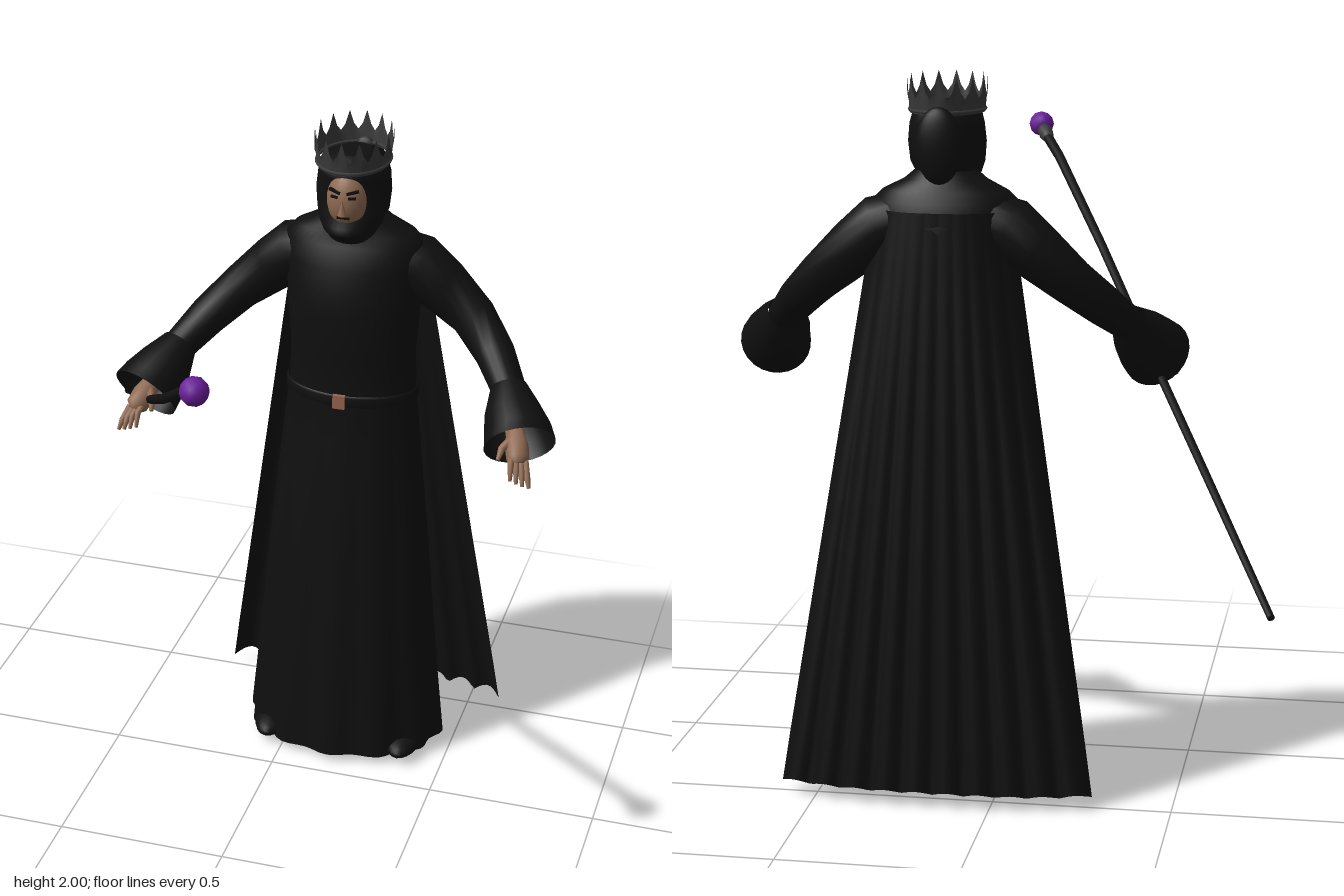
import * as THREE from 'three';

const CX = 0.16; // body centre line
const V = (x, y, z) => new THREE.Vector3(x, y, z);

const mat = (name, color, side = THREE.FrontSide) => {
  const m = new THREE.MeshStandardMaterial({ color, side });
  m.name = name;
  return m;
};

// Skin a list of equal-length rings (or open rows) of points
function loft(rings, closed = true, capStart = false, capEnd = false) {
  const n = rings[0].length, pos = [], idx = [];
  rings.forEach(r => r.forEach(p => pos.push(p.x, p.y, p.z)));
  for (let i = 0; i < rings.length - 1; i++) {
    for (let j = 0; j < (closed ? n : n - 1); j++) {
      const k = (j + 1) % n, a = i * n + j, b = i * n + k;
      idx.push(a, b, b + n, a, b + n, a + n);
    }
  }
  const cap = (i, flip) => {
    const c = rings[i].reduce((s, p) => s.add(p), V(0, 0, 0)).divideScalar(n);
    const start = pos.length / 3;
    [...rings[i], c].forEach(p => pos.push(p.x, p.y, p.z));
    for (let j = 0; j < n; j++) {
      const a = start + j, b = start + (j + 1) % n;
      flip ? idx.push(b, a, start + n) : idx.push(a, b, start + n);
    }
  };
  if (capStart) cap(0, true);
  if (capEnd) cap(rings.length - 1, false);
  const g = new THREE.BufferGeometry();
  g.setAttribute('position', new THREE.Float32BufferAttribute(pos, 3));
  g.setIndex(idx);
  g.computeVertexNormals();
  return g;
}

// Round limb through points with a radius at each
function sweep(pts, radii, n = 12, caps = true) {
  const rings = pts.map((p, i) => {
    const t = pts[Math.min(i + 1, pts.length - 1)].clone().sub(pts[Math.max(i - 1, 0)]).normalize();
    const u = V(0, 1, 0).cross(t).normalize(), v = t.clone().cross(u);
    return Array.from({ length: n }, (_, j) => {
      const a = j / n * Math.PI * 2;
      return p.clone().addScaledVector(u, radii[i] * Math.cos(a)).addScaledVector(v, radii[i] * Math.sin(a));
    });
  });
  return loft(rings, true, caps, caps);
}

// Stacked ellipses from rows of [y, half width, front z, back z, fold depth]
function stack(rows, n = 48, capStart = false, capEnd = false) {
  return loft(rows.map(([y, rx, zf, zb, fold = 0]) => Array.from({ length: n }, (_, j) => {
    const a = j / n * Math.PI * 2, k = 1 + fold * Math.cos(a * 12);
    return V(CX + rx * k * Math.cos(a), y, (zf + zb) / 2 - (zf - zb) / 2 * k * Math.sin(a));
  })), true, capStart, capEnd);
}

export function createModel() {
  const cloth = mat('black cloth', 0x0f0f0f, THREE.DoubleSide);
  const skin = mat('skin', 0x8f6a52);
  const iron = mat('dark iron', 0x3a3a3a, THREE.DoubleSide);
  const purple = mat('purple gem', 0x6a1f9a);
  const copper = mat('copper', 0x966650);
  const wood = mat('black wood', 0x121212);
  const root = new THREE.Group();
  const add = (name, geo, m, x = 0, y = 0, z = 0, parent = root) => {
    const mesh = new THREE.Mesh(geo, m);
    mesh.name = name;
    mesh.position.set(x, y, z);
    parent.add(mesh);
    return mesh;
  };
  const ball = (rx, ry, rz) => new THREE.SphereGeometry(1, 24, 16).scale(rx, ry, rz);

  // Robe, belt and shoulder mantle
  add('robe', stack([
    [0.025, 0.3, -0.06, -0.51, 0.035], [0.3, 0.275, -0.08, -0.48, 0.025], [0.7, 0.24, -0.115, -0.45, 0.015],
    [1.05, 0.205, -0.152, -0.425, 0.008], [1.19, 0.19, -0.17, -0.415], [1.32, 0.185, -0.165, -0.42],
    [1.46, 0.195, -0.155, -0.425], [1.58, 0.2, -0.175, -0.42], [1.66, 0.185, -0.205, -0.4],
    [1.71, 0.1, -0.23, -0.37]], 72, true, true), cloth);
  add('belt', stack([[1.175, 0.193, -0.163, -0.42], [1.18, 0.199, -0.158, -0.425],
    [1.205, 0.199, -0.158, -0.425], [1.21, 0.193, -0.163, -0.42]]), cloth);
  add('buckle', new THREE.BoxGeometry(0.036, 0.042, 0.012), copper, 0.155, 1.193, -0.156);
  add('mantle', stack([[1.52, 0.2, -0.152, -0.43], [1.6, 0.205, -0.165, -0.43], [1.66, 0.205, -0.195, -0.405],
    [1.69, 0.175, -0.21, -0.39], [1.72, 0.115, -0.215, -0.375], [1.745, 0.085, -0.225, -0.36]]), cloth);

  // Cape with folds deepening towards a scalloped hem
  const cape = [];
  for (let i = 0; i <= 12; i++) {
    const t = i / 12, row = [];
    for (let j = 0; j <= 72; j++) {
      const u = j / 36 - 1, wave = Math.abs(Math.sin(u * Math.PI * 5));
      const bow = Math.pow(Math.abs(u), 3);
      row.push(V(CX + u * (0.19 + 0.25 * t), 1.64 - 1.6 * t + (t === 1 ? 0.015 * (wave - 0.5) : 0),
        -0.425 - 0.145 * t + bow * (0.085 - 0.03 * t) + 0.025 * t * (0.5 - wave)));
    }
    cape.push(row);
  }
  add('cape', loft(cape, false), cloth);

  // Hood, its hanging tail and the face
  add('hood', stack([
    [1.65, 0.095, -0.22, -0.39], [1.69, 0.078, -0.185, -0.36], [1.71, 0.08, -0.155, -0.35],
    [1.735, 0.09, -0.15, -0.35], [1.765, 0.103, -0.178, -0.355], [1.82, 0.108, -0.178, -0.365],
    [1.87, 0.103, -0.178, -0.37], [1.91, 0.092, -0.165, -0.37], [1.93, 0.05, -0.22, -0.33]], 40, false, true), cloth);
  add('hoodTail', ball(0.065, 0.105, 0.033), cloth, CX, 1.82, -0.4);
  const face = new THREE.Group();
  face.name = 'face';
  face.position.set(CX, 0, 0);
  root.add(face);
  add('head', ball(0.062, 0.09, 0.066), skin, 0, 1.81, -0.215, face);
  add('nose', new THREE.ConeGeometry(0.013, 0.045, 8), skin, 0, 1.803, -0.146, face);
  for (const s of [-1, 1]) {
    const brow = add('eyebrow', new THREE.BoxGeometry(0.036, 0.007, 0.009), cloth, s * 0.026, 1.846, -0.16, face);
    brow.rotation.set(0, s * 0.35, s * 0.2);
    add('eye', new THREE.BoxGeometry(0.022, 0.007, 0.009), cloth, s * 0.025, 1.83, -0.158, face).rotation.y = s * 0.3;
  }
  add('mouth', new THREE.BoxGeometry(0.036, 0.006, 0.008), cloth, 0, 1.769, -0.157, face);

  // Crown: flared band with fourteen points
  const heights = [2.0, 1.96, 1.943, 1.96];
  const ring = (k, yAt) => Array.from({ length: 56 }, (_, j) => {
    const a = (j + 2) / 56 * Math.PI * 2;
    return V(CX + 0.108 * k * Math.cos(a), yAt(j), -0.265 - 0.134 * k * Math.sin(a));
  });
  add('crown', loft([ring(0.95, () => 1.9), ring(0.97, () => 1.93), ring(1.01, j => heights[j % 4])]), iron);
  add('crownBand', new THREE.TorusGeometry(1, 0.045, 6, 40).rotateX(Math.PI / 2).scale(0.103, 0.11, 0.128),
    iron, CX, 1.908, -0.265);

  // Mirrored arms, cuffs, hands and boots
  for (const s of [-1, 1]) {
    const side = s > 0 ? 'left' : 'right';
    const P = (d, y, z) => V(CX + s * d, y, z);
    add(side + 'Sleeve', sweep([P(0.11, 1.61, -0.31), P(0.18, 1.585, -0.315), P(0.25, 1.53, -0.32),
      P(0.35, 1.445, -0.31), P(0.43, 1.37, -0.245), P(0.5, 1.295, -0.15)],
      [0.08, 0.09, 0.08, 0.066, 0.058, 0.048], 18), cloth);
    add(side + 'Cuff', sweep([P(0.49, 1.31, -0.165), P(0.515, 1.265, -0.11), P(0.54, 1.225, -0.07), P(0.555, 1.2, -0.035)],
      [0.052, 0.08, 0.096, 0.102], 24, false), cloth);
    add(side + 'Wrist', sweep([P(0.51, 1.28, -0.13), P(0.545, 1.215, -0.03)], [0.032, 0.027], 12), skin);
    add(side + 'Palm', sweep([P(0.538, 1.235, -0.05), P(0.55, 1.21, -0.015), P(0.562, 1.185, 0.02), P(0.567, 1.175, 0.03)],
      [0.024, 0.034, 0.032, 0.016], 12), skin);
    for (let f = 0; f < 4; f++) {
      const o = f - 1.5;
      add(side + 'Finger', sweep([P(0.562 + o * 0.014, 1.188 - o * 0.006, 0.018), P(0.573 + o * 0.016, 1.162 - o * 0.01, 0.05),
        P(0.578 + o * 0.018, 1.128 - o * 0.005, 0.068 - Math.abs(o) * 0.004)], [0.01, 0.009, 0.005], 8), skin);
    }
    add(side + 'Thumb', sweep([P(0.535, 1.225, -0.015), P(0.515, 1.21, 0.02), P(0.51, 1.185, 0.042)],
      [0.013, 0.011, 0.006], 8), skin);
    add(side + 'Boot', ball(0.06, 0.04, 0.15), cloth, CX + s * 0.21, 0.04, -0.235);
  }

  // Staff with claw and gem
  add('staff', sweep([V(-0.79, 0.71, -0.94), V(-0.58, 0.955, -0.47), V(-0.36, 1.21, 0.02), V(-0.18, 1.43, 0.41),
    V(0, 1.65, 0.76), V(0.055, 1.705, 0.855)], [0.01, 0.012, 0.013, 0.014, 0.015, 0.016], 8), wood);
  add('staffClaw', sweep([V(0.045, 1.695, 0.84), V(0.06, 1.712, 0.868), V(0.072, 1.722, 0.89)], [0.016, 0.024, 0.02], 8), iron);
  const gem = new THREE.IcosahedronGeometry(0.039, 1);
  add('gem', gem, purple, 0.08, 1.735, 0.912);
  return root;
}
